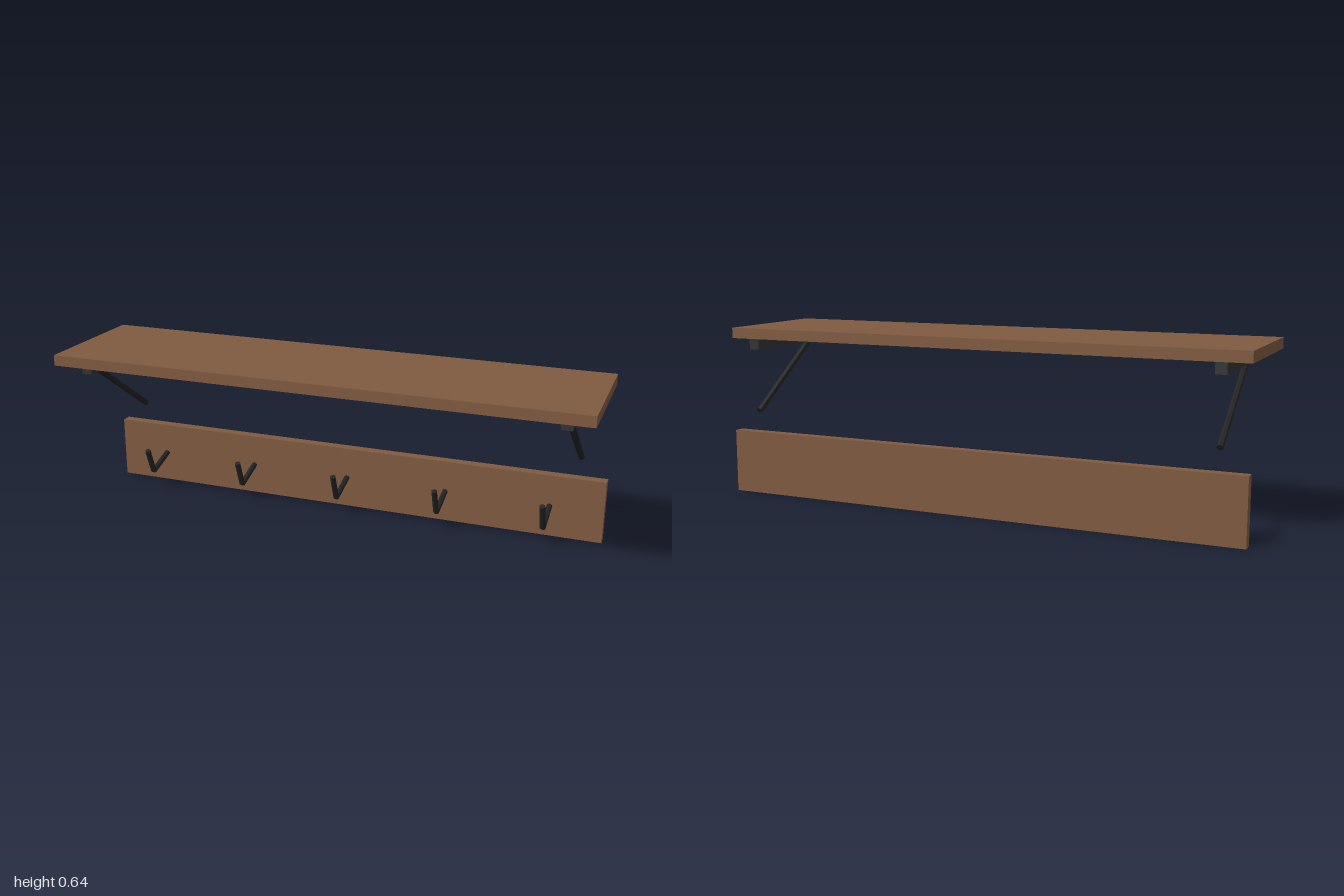
import * as THREE from 'three';

export function createModel() {
  const model = new THREE.Group();
  const wood = new THREE.MeshStandardMaterial({ color: 0x805a40 });
  wood.name = 'brown wood';
  const iron = new THREE.MeshStandardMaterial({ color: 0x333333 });
  iron.name = 'dark iron';
  const black = new THREE.MeshStandardMaterial({ color: 0x222222, flatShading: true });
  black.name = 'black iron';

  function box(name, material, size, position, parent = model) {
    const mesh = new THREE.Mesh(new THREE.BoxGeometry(...size), material);
    mesh.name = name;
    mesh.position.set(...position);
    parent.add(mesh);
  }

  // Eight-sided rod between two [y, z] points in the plane at x
  function rod(name, x, from, to, radius, parent) {
    const a = new THREE.Vector3(x, ...from);
    const b = new THREE.Vector3(x, ...to);
    const mesh = new THREE.Mesh(new THREE.CylinderGeometry(radius, radius, a.distanceTo(b), 8), black);
    mesh.name = name;
    mesh.position.lerpVectors(a, b, 0.5);
    mesh.quaternion.setFromUnitVectors(new THREE.Vector3(0, 1, 0), b.sub(a).normalize());
    parent.add(mesh);
  }

  // Shelf and wall rail
  box('shelfBoard', wood, [2, 0.04, 0.5], [0, 0.62, 0]);
  box('hookRail', wood, [2, 0.24, 0.04], [0, 0.12, -0.23]);

  // Brackets with a diagonal brace, one near each end
  for (const side of [-1, 1]) {
    const bracket = new THREE.Group();
    bracket.name = side > 0 ? 'leftBracket' : 'rightBracket';
    box('bracketArm', iron, [0.04, 0.04, 0.44], [side * 0.9, 0.58, -0.03], bracket);
    rod('brace', side * 0.9, [0.321, -0.229], [0.575, 0.135], 0.012, bracket);
    model.add(bracket);
  }

  // Five coat hooks, each a sloping stem and an upright tip
  for (let i = -2; i <= 2; i++) {
    const hook = new THREE.Group();
    hook.name = 'coatHook';
    rod('hookStem', i * 0.4, [0.12, -0.21], [0.081, -0.091], 0.011, hook);
    rod('hookTip', i * 0.4, [0.083, -0.088], [0.182, -0.05], 0.011, hook);
    model.add(hook);
  }

  return model;
}
